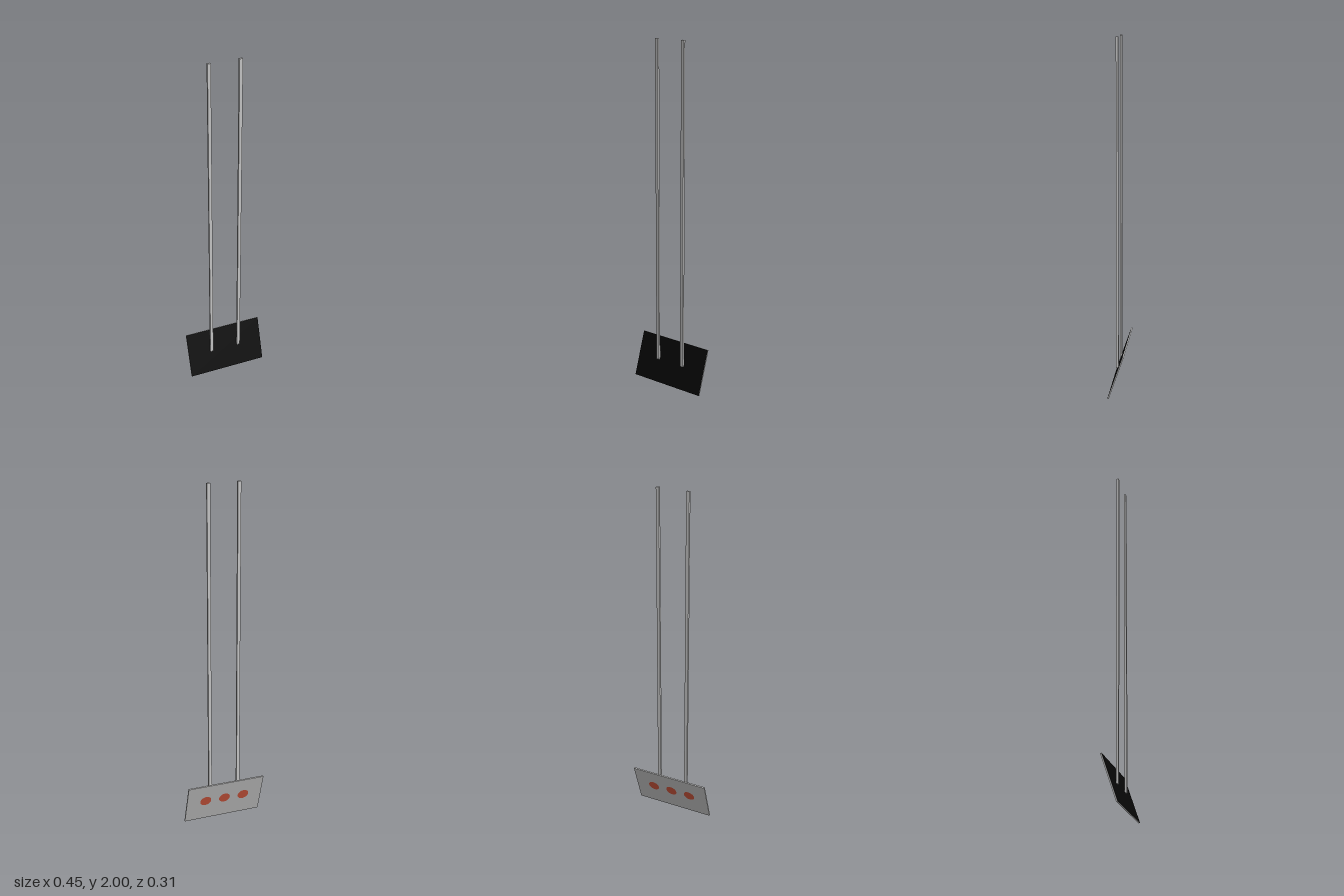
import * as THREE from 'three';

export function createModel() {
  const metal = new THREE.MeshStandardMaterial({ color: 0xc8c8c8 });
  metal.name = 'light grey metal';
  const black = new THREE.MeshStandardMaterial({ color: 0x060606 });
  black.name = 'black face';
  const red = new THREE.MeshStandardMaterial({ color: 0xd2583f });
  red.name = 'red lamp';

  const width = 0.468, height = 0.268, thick = 0.008;

  // Whole fixture is turned about the vertical axis
  const model = new THREE.Group();
  model.name = 'hangingSignal';
  model.rotation.y = -Math.PI / 6;

  const add = (parent, name, geometry, material, x, y, z) => {
    const mesh = new THREE.Mesh(geometry, material);
    mesh.name = name;
    mesh.position.set(x, y, z);
    parent.add(mesh);
    return mesh;
  };

  // Tilted board: black front face, grey edges and back
  const board = new THREE.Group();
  board.name = 'board';
  board.position.y = 0.1285;
  board.rotation.x = -THREE.MathUtils.degToRad(18.5);
  model.add(board);
  add(board, 'panel', new THREE.BoxGeometry(width, height, thick),
    [metal, metal, metal, metal, black, metal], 0, 0, 0);

  // Three round lamps on the back
  for (const i of [-1, 0, 1]) {
    const lamp = add(board, 'lamp', new THREE.CircleGeometry(0.034, 32), red,
      i * 0.118, 0.013, -thick / 2 - 0.001);
    lamp.rotation.y = Math.PI;
  }

  // Two long hanging rods
  const rodBottom = 0.13, rodTop = 2;
  for (const side of [-1, 1]) {
    add(model, side > 0 ? 'leftRod' : 'rightRod',
      new THREE.BoxGeometry(0.018, rodTop - rodBottom, 0.013), metal,
      side * 0.087 - 0.002, (rodTop + rodBottom) / 2, 0.007);
  }

  const group = new THREE.Group();
  group.name = 'model';
  group.add(model);
  return group;
}
